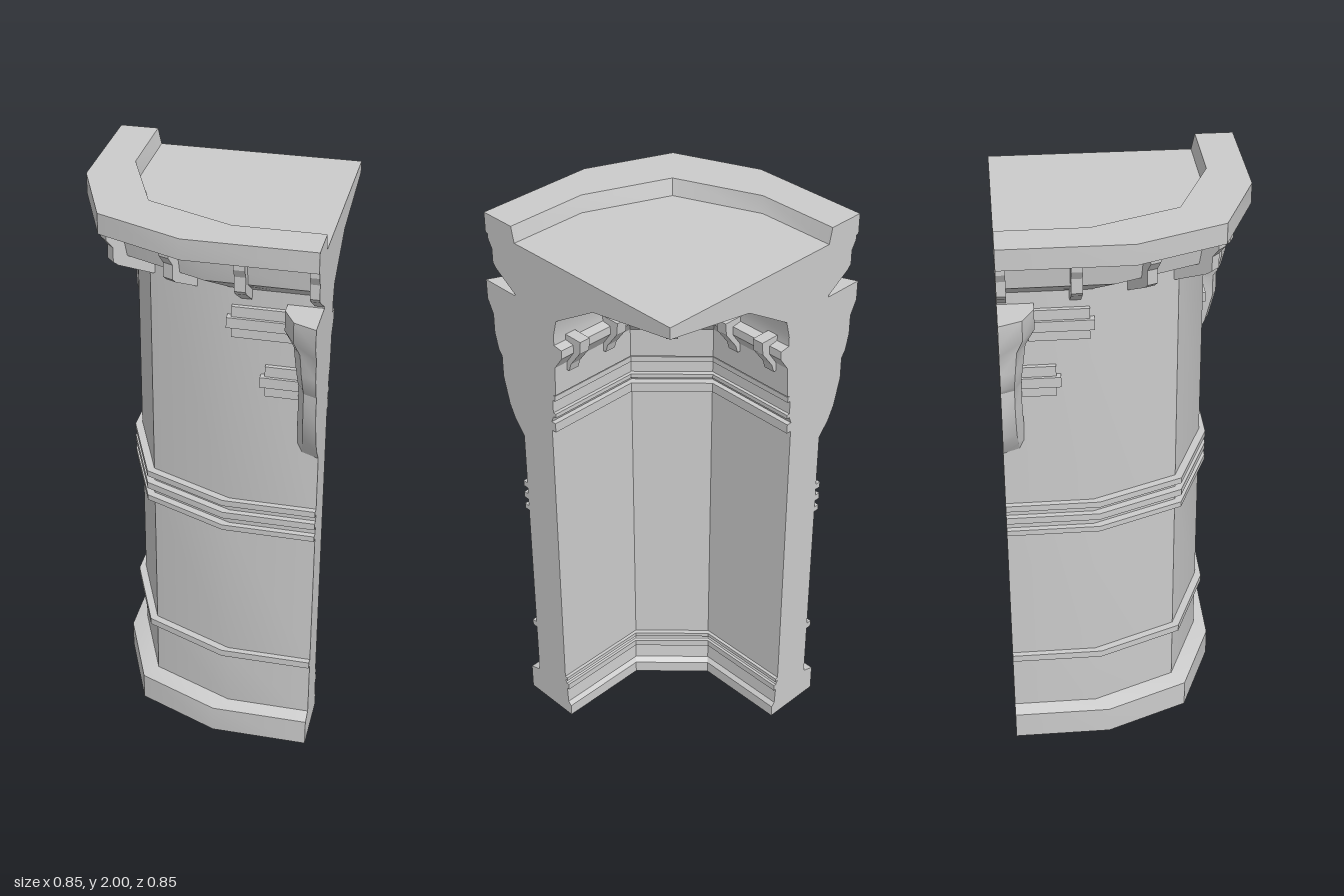
import * as THREE from 'three';
import { toCreasedNormals } from 'three/addons/utils/BufferGeometryUtils.js';

const AXIS = 0.425; // tower axis lies at x = AXIS, z = -AXIS
const WALL = 0.28;  // outer wall face
const INNER = 0.13; // inner wall face
const material = new THREE.MeshStandardMaterial({ color: 0xcccccc });

// Skin between successive rings of [x, y, z] points, skipping collapsed triangles
function loft(rings) {
  const pos = [];
  const same = (a, b) => Math.hypot(a[0] - b[0], a[1] - b[1], a[2] - b[2]) < 1e-6;
  const tri = (a, b, c) => {
    if (!same(a, b) && !same(b, c) && !same(a, c)) pos.push(...a, ...b, ...c);
  };
  for (let j = 0; j < rings.length - 1; j++) {
    for (let i = 0; i < rings[j].length - 1; i++) {
      const a = rings[j][i], b = rings[j][i + 1], c = rings[j + 1][i + 1], d = rings[j + 1][i];
      tri(a, d, c);
      tri(a, c, b);
    }
  }
  const geo = new THREE.BufferGeometry();
  geo.setAttribute('position', new THREE.Float32BufferAttribute(pos, 3));
  return toCreasedNormals(geo, 0.5);
}

function add(parent, name, geo) {
  const mesh = new THREE.Mesh(geo, material);
  mesh.name = name;
  parent.add(mesh);
  return mesh;
}

// Plan outlines, from the +x cut round to the -z cut; s is the z of the front face
const clip = ([x, z]) => [Math.min(x, AXIS), Math.max(z, -AXIS)];
function outerPlan(s) {
  const d = s - WALL;
  return [[AXIS, s], [0.13 - d, s], [-0.16 - d, 0.16 + d], [-s, d - 0.13], [-s, -AXIS]].map(clip);
}
function innerPlan(s) {
  const d = s - INNER;
  return [[AXIS, s], [0.065 - d, s], [-s, d - 0.065], [-s, -AXIS]].map(clip);
}
const sweep = (profile, plan) =>
  loft(profile.map(([s, y]) => plan(s).map(([x, z]) => [x, y, z])));

const shapeOf = (pts) => new THREE.Shape(pts.map(([x, y]) => new THREE.Vector2(x, y)));

// Square-edged moulding on a profile
const band = (s, out, y0, y1) => [[s, y0], [out, y0], [out, y1], [s, y1]];

// Bracket: side profile extruded to a width, pointing along an angle about y
function bracket(parent, name, profile, width, x, z, angle, reach) {
  const geo = new THREE.ExtrudeGeometry(shapeOf(profile.map(([o, y]) => [o * reach, y])),
    { depth: width, bevelEnabled: false });
  geo.translate(0, 0, -width / 2);
  const mesh = add(parent, name, geo);
  mesh.position.set(x, 0, z);
  mesh.rotation.y = angle;
}

export function createModel() {
  const model = new THREE.Group();
  model.name = 'towerQuarter';

  // Outer wall, base, bands, cornice and roof
  const outer = [
    [0.325, 0], [0.325, 0.1], [WALL, 0.115],
    ...band(WALL, 0.3, 0.33, 0.355),
    ...band(WALL, 0.3, 0.88, 0.9),
    ...band(WALL, 0.3, 0.928, 0.952),
    ...band(WALL, 0.3, 0.978, 1.0),
    [WALL, 1.79], [0.35, 1.84], [0.36, 1.915], [0.395, 1.925], [0.41, 1.93],
    [0.41, 2], [WALL, 2], [0.268, 1.945], [-AXIS, 1.945],
  ];
  add(model, 'outerWall', sweep(outer, outerPlan));

  // Vault, inner cornice, inner wall and plinth, from the crown down
  const inner = [
    [-AXIS, 1.905], [-0.09, 1.85], [0.085, 1.74], [0.1, 1.68], [0.1, 1.645],
    [0.065, 1.64], [0.065, 1.61], [0.1, 1.56], [0.105, 1.45],
    ...band(0.12, 0.108, 1.445, 1.425),
    ...band(0.12, 0.108, 1.375, 1.36),
    ...band(INNER, 0.112, 1.335, 1.3),
    ...band(INNER, 0.118, 0.18, 0.165),
    ...band(0.122, 0.112, 0.15, 0.125),
    [0.118, 0.06], [0.105, 0.045], [0.105, 0],
  ];
  add(model, 'innerWall', sweep(inner, innerPlan));

  // Flat cut faces and underside
  const section = [...outer, ...inner];
  const rightCut = new THREE.ShapeGeometry(shapeOf(section.map(([s, y]) => [-s, y])));
  rightCut.rotateY(Math.PI / 2).translate(AXIS, 0, 0);
  add(model, 'rightCutFace', rightCut);
  const backCut = new THREE.ShapeGeometry(shapeOf(section));
  backCut.rotateY(Math.PI).translate(0, 0, -AXIS);
  add(model, 'backCutFace', backCut);
  const footprint = [...outerPlan(0.325), ...innerPlan(0.105).reverse()];
  add(model, 'underside', new THREE.ShapeGeometry(shapeOf(footprint)).rotateX(Math.PI / 2));

  // Parts repeated on both halves, mirrored across the diagonal
  const corniceBracket = [[-0.02, 1.755], [0, 1.755], [0.09, 1.815], [0.103, 1.83],
    [0.103, 1.88], [0.12, 1.91], [0.12, 1.928], [-0.02, 1.928]];
  const vaultBracket = [[-0.02, 1.53], [0.015, 1.53], [0.025, 1.56], [0.07, 1.62],
    [0.075, 1.665], [-0.02, 1.665]];
  // Corbel levels: [front z, half width, y]
  const corbel = [[0.28, 0.085, 1.2], [0.32, 0.08, 1.25], [0.345, 0.072, 1.3],
    [0.37, 0.068, 1.4], [0.37, 0.068, 1.48], [0.385, 0.068, 1.5], [0.4, 0.075, 1.56],
    [0.4, 0.085, 1.63], [0.425, 0.115, 1.68], [0.425, 0.115, 1.75], [0.27, 0, 1.75]];

  for (const side of ['front', 'side']) {
    const half = new THREE.Group();
    half.name = side + 'Half';
    if (side === 'side') {
      half.scale.x = -1;
      half.rotation.y = -Math.PI / 2;
    }
    model.add(half);

    // Faceted corbel beside the cut
    const back = 0.27;
    add(half, 'corbel', loft(corbel.map(([f, w, y]) => [
      [AXIS, back], [AXIS, f],
      [AXIS - 0.65 * w, Math.max(back, f - 0.27 * w)],
      [AXIS - w, Math.max(back, f - 0.9 * w)],
      [AXIS - w, back],
    ].map(([x, z]) => [x, y, z]))));

    // Short stepped mouldings next to the corbel
    for (const [y, x0, x1] of [[1.677, 0.12, 0.33], [1.475, 0.23, 0.37]]) {
      for (const [k, inset, out] of [[-1, 0.015, 0.015], [0, 0, 0.025], [1, 0.015, 0.015]]) {
        const length = x1 - x0 - inset;
        const bar = add(half, 'moulding', new THREE.BoxGeometry(length, 0.036, out + 0.02));
        bar.position.set(x1 - length / 2, y + k * 0.036, WALL + (out - 0.02) / 2);
      }
    }

    // Brackets under the outer cornice
    bracket(half, 'corniceBracket', corniceBracket, 0.03, 0.41, WALL, -Math.PI / 2, 1);
    bracket(half, 'corniceBracket', corniceBracket, 0.036, 0.18, WALL, -Math.PI / 2, 1);
    bracket(half, 'corniceBracket', corniceBracket, 0.036, -0.005, 0.224, -Math.PI * 5 / 8, 1.25);

    // Brackets under the vault
    for (const x of [0.355, 0.195]) {
      bracket(half, 'vaultBracket', vaultBracket, 0.04, x, 0.105, Math.PI / 2, 1);
    }
  }

  // Single brackets on the diagonal
  bracket(model, 'cornerBracket', corniceBracket, 0.036, -0.16, 0.16, -Math.PI * 3 / 4, 1.38);
  bracket(model, 'vaultCornerBracket', vaultBracket, 0.04, -0.0075, 0.0075, Math.PI / 4, 1.2);

  return model;
}
